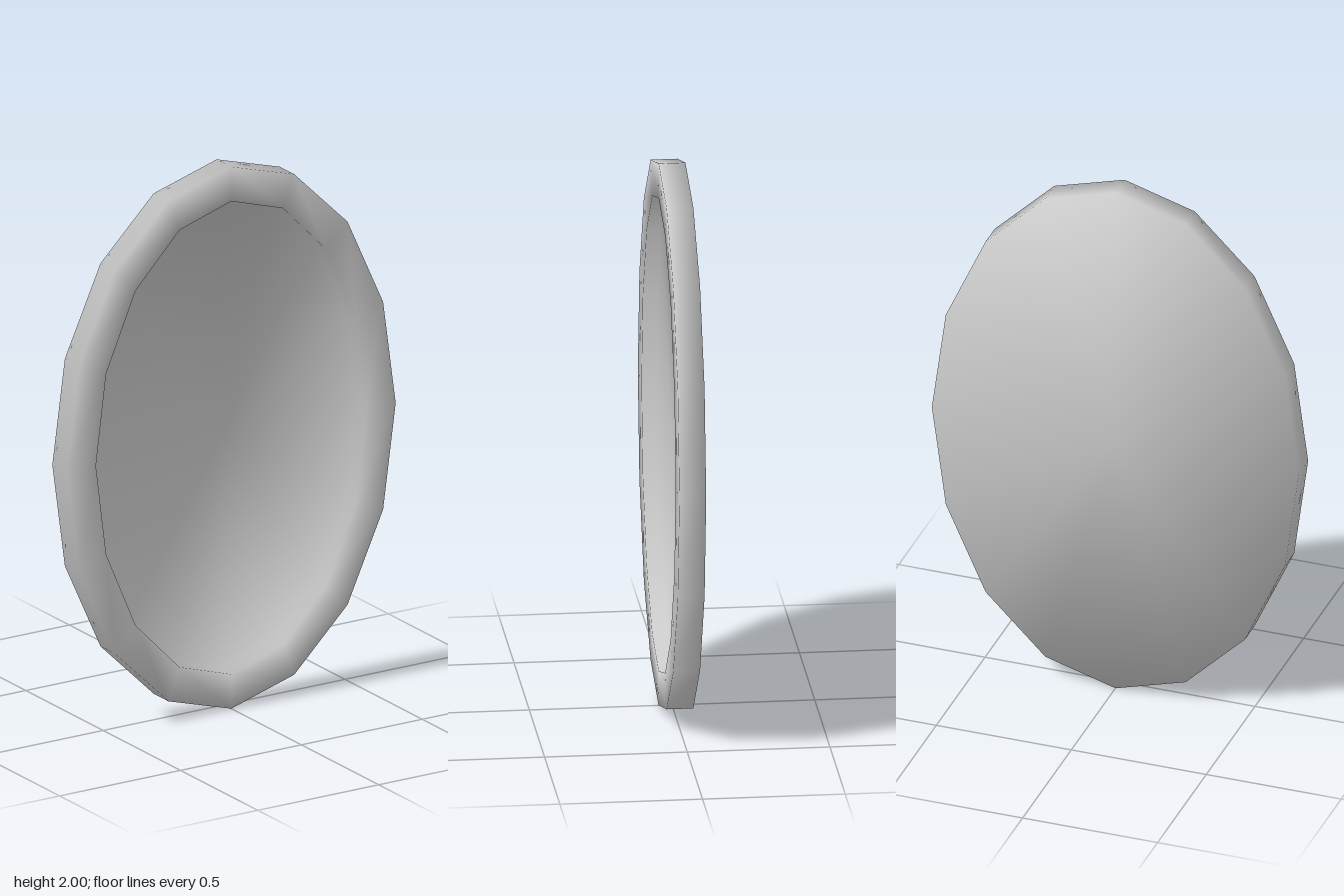
import * as THREE from 'three';

export function createModel() {
  const group = new THREE.Group();
  const sides = 16, half = 0.047, floorZ = -0.005;

  // Profile from the back centre to the recess centre:
  // [half width, half height, z, radial part of normal, z part of normal]
  const rings = [
    [0, 0, -half, 0, -1],
    [0.68, 1, -half, 1, -1],
    [0.68, 1, half, 1, 1],
    [0.56, 0.873, half, -1, 1],
    [0.56, 0.873, floorZ, -1, 1],
    [0, 0, floorZ, 0, 1],
  ];
  const geometry = new THREE.LatheGeometry(
    rings.map(([rx, , z]) => new THREE.Vector2(rx, z)), sides);

  // Stretch the round lathe to an oval facing +z, with soft shading over the edges
  const pos = geometry.attributes.position, nor = geometry.attributes.normal;
  const n = new THREE.Vector3();
  for (let i = 0; i < pos.count; i++) {
    const [rx, ry, z, radial, front] = rings[i % rings.length];
    const a = Math.floor(i / rings.length) / sides * Math.PI * 2;
    const s = Math.sin(a), c = -Math.cos(a);
    pos.setXYZ(i, s * rx, 1 + c * ry, z);
    n.set(s, c * 0.68, 0).normalize().multiplyScalar(radial);
    n.z = front;
    n.normalize();
    nor.setXYZ(i, n.x, n.y, n.z);
  }

  const plate = new THREE.Mesh(geometry, new THREE.MeshStandardMaterial({ color: 0xcccccc }));
  plate.name = 'ovalFrame';
  group.add(plate);
  return group;
}
